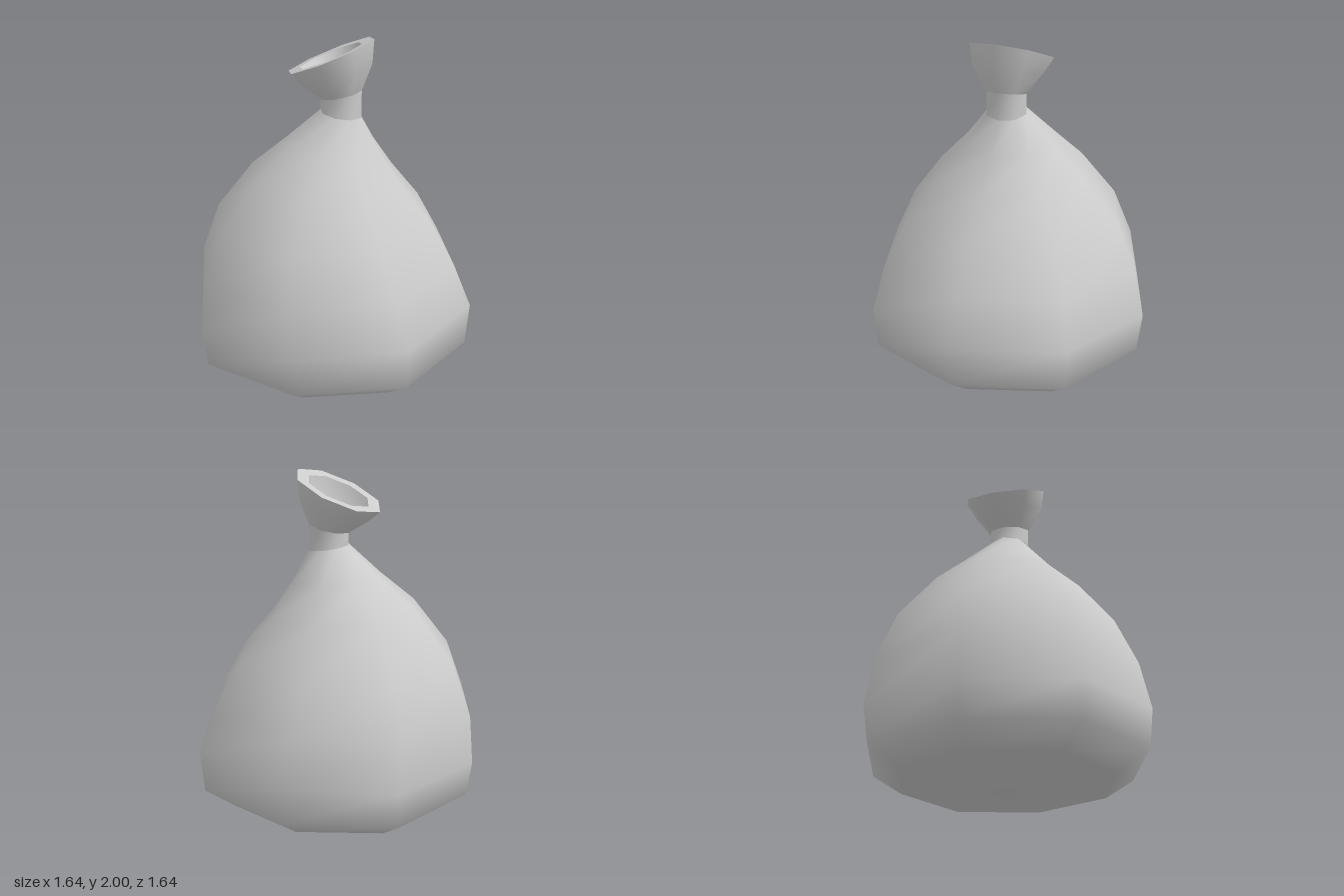
import * as THREE from 'three';

const SIDES = 8;
const TURN = THREE.MathUtils.degToRad(15);

// Skin a stack of tilted octagonal rings: [radius, centreX, centreZ, y at axis, slopeX, slopeZ]
function loft(name, rings, oddScale = 1) {
  const pos = [], index = [];
  for (const [r, cx, cz, y, sx, sz] of rings) {
    for (let j = 0; j < SIDES; j++) {
      const a = TURN + (j / SIDES) * Math.PI * 2;
      const rr = j % 2 ? r * oddScale : r;
      const x = cx + rr * Math.cos(a), z = cz + rr * Math.sin(a);
      pos.push(x, y + sx * x + sz * z, z);
    }
  }
  for (let i = 0; i < rings.length - 1; i++) {
    for (let j = 0; j < SIDES; j++) {
      const k = (j + 1) % SIDES;
      const a = i * SIDES + j, b = a + SIDES, c = i * SIDES + k, d = c + SIDES;
      // a zero-radius ring closes with a fan
      if (rings[i][0] > 0) index.push(a, b, c);
      if (rings[i + 1][0] > 0) index.push(c, b, d);
    }
  }
  const geo = new THREE.BufferGeometry();
  geo.setAttribute('position', new THREE.Float32BufferAttribute(pos, 3));
  geo.setIndex(index);
  geo.computeVertexNormals();
  // the points of a closed tip share one averaged normal
  const n = geo.attributes.normal;
  rings.forEach((ring, i) => {
    if (ring[0] > 0) return;
    const sum = new THREE.Vector3();
    for (let j = 0; j < SIDES; j++) sum.add(new THREE.Vector3().fromBufferAttribute(n, i * SIDES + j));
    sum.normalize();
    for (let j = 0; j < SIDES; j++) n.setXYZ(i * SIDES + j, sum.x, sum.y, sum.z);
  });
  const mesh = new THREE.Mesh(geo, new THREE.MeshStandardMaterial({ color: 0xcccccc, side: THREE.DoubleSide }));
  mesh.name = name;
  return mesh;
}

export function createModel() {
  const group = new THREE.Group();
  group.name = 'tiedSack';

  // rings shared between neighbouring parts
  const neckBase = [0.119, 0.045, -0.025, 1.575, -0.12, 0.09];
  const neckTop = [0.119, 0.045, -0.025, 1.67, 0.18, -0.12];
  const rimOuter = [0.247, -0.012, 0, 1.899, 0.38, -0.21];
  const rimInner = [0.178, -0.013, 0, 1.897, 0.38, -0.21];

  // bulging sack with a shallow pointed underside
  group.add(loft('sackBody', [
    [0, 0, 0, 0.005, 0, 0],
    [0.637, 0, 0, 0.075, 0.01, -0.006],
    [0.823, 0.005, 0, 0.195, 0.023, -0.014],
    [0.85, 0, 0, 0.42, 0.044, -0.027],
    [0.787, -0.03, 0.025, 0.68, 0.03, -0.02],
    [0.66, -0.045, 0.035, 0.945, 0.01, -0.006],
    [0.45, -0.025, 0.03, 1.20, -0.05, 0.03],
    [0.27, 0, 0, 1.39, -0.05, 0.03],
    neckBase,
  ], 0.977));

  // pinched neck
  group.add(loft('neck', [neckBase, neckTop]));

  // tilted flared mouth
  group.add(loft('mouthOuter', [neckTop, [0.207, 0.025, -0.005, 1.79, 0.3, -0.16], rimOuter]));
  group.add(loft('mouthRim', [rimOuter, rimInner]));
  group.add(loft('mouthHollow', [
    rimInner,
    [0.145, 0.015, -0.005, 1.80, 0.3, -0.16],
    [0.08, 0.035, -0.015, 1.72, 0.2, -0.12],
    [0, 0.04, -0.02, 1.70, 0, 0],
  ]));
  return group;
}
